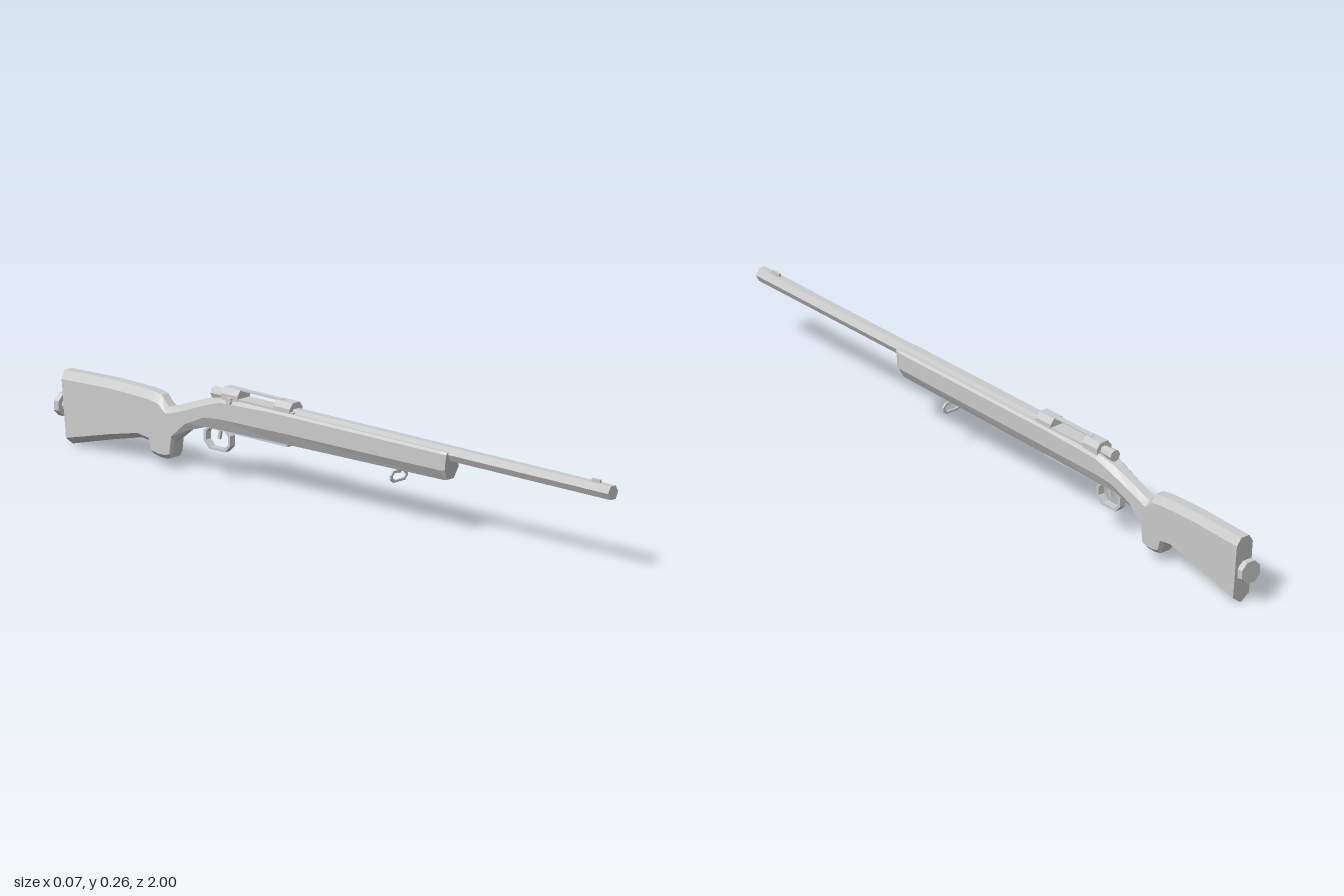
import * as THREE from 'three';

const mat = new THREE.MeshStandardMaterial({ color: 0xcccccc, flatShading: true, side: THREE.DoubleSide });

function add(group, name, geometry, x = 0, y = 0, z = 0) {
  const mesh = new THREE.Mesh(geometry, mat);
  mesh.name = name;
  mesh.position.set(x, y, z);
  group.add(mesh);
  return mesh;
}

// Skins a list of equal-length rings of [x, y, z], given front to back
function loft(rings) {
  const n = rings[0].length, index = [];
  for (let i = 0; i < rings.length - 1; i++) {
    for (let j = 0; j < n; j++) {
      const a = i * n + j, b = i * n + (j + 1) % n;
      index.push(a, a + n, b, b, a + n, b + n);
    }
  }
  const last = (rings.length - 1) * n;
  for (let j = 1; j < n - 1; j++) index.push(0, j, j + 1, last, last + j + 1, last + j);
  const geo = new THREE.BufferGeometry();
  geo.setAttribute('position', new THREE.Float32BufferAttribute(rings.flat(2), 3));
  geo.setIndex(index);
  const flat = geo.toNonIndexed();
  flat.computeVertexNormals();
  return flat;
}

// Chamfered cross-section, counter-clockwise seen from the front
function section([z, top, bottom, w, wTop, cTop, wBottom, cBottom, lean = 0]) {
  const right = [[wBottom, bottom], [w, bottom + cBottom], [w, top - cTop], [wTop, top]];
  const left = right.map(([x, y]) => [-x, y]).reverse();
  return [...right, ...left].map(([x, y]) => [x, y, z + lean * (top - y) / (top - bottom)]);
}

// Extrudes an [a, b] outline along z, from zBack to zFront
function prism(points, zBack, zFront, hole) {
  const shape = new THREE.Shape(points.map(p => new THREE.Vector2(...p)));
  if (hole) shape.holes.push(new THREE.Path(hole.map(p => new THREE.Vector2(...p))));
  const geo = new THREE.ExtrudeGeometry(shape, { depth: zFront - zBack, bevelEnabled: false });
  return geo.translate(0, 0, zBack);
}

// Rectangle with cut corners
function cutRect(w, h, c) {
  return [[w - c, -h], [w, -h + c], [w, h - c], [w - c, h], [-w + c, h], [-w, h - c], [-w, -h + c], [-w + c, -h]];
}

export function createModel() {
  const model = new THREE.Group();
  model.name = 'rifle';

  // Stock: z, top, bottom, half width, top half width, top cut, bottom half width, bottom cut, lean
  const stations = [
    [0.42, 0.238, 0.16, 0.027, 0.022, 0.006, 0.013, 0.03, -0.01],
    [0.4, 0.24, 0.158, 0.032, 0.026, 0.006, 0.015, 0.03],
    [-0.2, 0.24, 0.15, 0.033, 0.027, 0.006, 0.016, 0.034],
    [-0.4, 0.238, 0.146, 0.031, 0.022, 0.012, 0.016, 0.034],
    [-0.46, 0.222, 0.145, 0.028, 0.014, 0.016, 0.015, 0.028],
    [-0.53, 0.197, 0.122, 0.025, 0.012, 0.018, 0.013, 0.02],
    [-0.58, 0.178, 0.082, 0.025, 0.012, 0.016, 0.012, 0.016],
    [-0.586, 0.176, 0.036, 0.026, 0.012, 0.016, 0.016, 0.012],
    [-0.6, 0.174, 0.031, 0.027, 0.012, 0.016, 0.016, 0.012],
    [-0.625, 0.202, 0.031, 0.028, 0.013, 0.022, 0.016, 0.012],
    [-0.65, 0.207, 0.036, 0.028, 0.014, 0.022, 0.016, 0.012],
    [-0.66, 0.208, 0.066, 0.028, 0.014, 0.022, 0.012, 0.014],
    [-0.7, 0.21, 0.07, 0.028, 0.014, 0.022, 0.008, 0.016],
    [-0.8, 0.212, 0.046, 0.028, 0.014, 0.022, 0.005, 0.018],
    [-0.977, 0.206, 0.004, 0.028, 0.014, 0.022, 0.003, 0.02, 0.02],
  ];
  add(model, 'stock', loft(stations.map(section)));

  // Knob on the butt
  add(model, 'buttKnobNeck', new THREE.CylinderGeometry(0.02, 0.02, 0.03, 8).rotateX(Math.PI / 2), 0, 0.108, -0.975);
  add(model, 'buttKnob', new THREE.CylinderGeometry(0.034, 0.034, 0.018, 8).rotateY(Math.PI / 8).rotateX(Math.PI / 2),
    0, 0.108, -0.991);

  // Hexagonal barrel and front sight
  const hex = [[0.01, 0.213], [0.02, 0.232], [0.01, 0.25], [-0.01, 0.25], [-0.02, 0.232], [-0.01, 0.213]];
  add(model, 'barrel', prism(hex, -0.16, 1));
  add(model, 'frontSight', new THREE.BoxGeometry(0.007, 0.012, 0.03), 0, 0.253, 0.94);

  // Receiver: bed, two arched bridges and a thin top strip over the opening
  const arch = [[0.025, 0.22], [0.025, 0.252], [0.013, 0.267], [-0.013, 0.267], [-0.025, 0.252], [-0.025, 0.22]];
  add(model, 'receiverBed', new THREE.BoxGeometry(0.046, 0.035, 0.26), 0, 0.2265, -0.27);
  add(model, 'frontBridge', prism(arch, -0.21, -0.15));
  add(model, 'rearBridge', prism(arch, -0.4, -0.34));
  add(model, 'topStrip', new THREE.BoxGeometry(0.016, 0.004, 0.16), 0, 0.266, -0.275);

  // Bolt: tail, handle and small knob on the right-hand side
  add(model, 'boltTail', new THREE.CylinderGeometry(0.014, 0.017, 0.05, 8).rotateX(Math.PI / 2), 0, 0.242, -0.42);
  add(model, 'boltHandle', new THREE.BoxGeometry(0.014, 0.01, 0.016), -0.026, 0.24, -0.365);
  add(model, 'boltKnob', new THREE.CylinderGeometry(0.01, 0.01, 0.008, 6).rotateZ(Math.PI / 2), -0.031, 0.236, -0.365);

  // Floor plate, trigger guard and trigger
  add(model, 'floorPlate', new THREE.BoxGeometry(0.024, 0.008, 0.3), 0, 0.146, -0.32);
  const guard = prism(cutRect(0.048, 0.034, 0.02), -0.01, 0.01, cutRect(0.04, 0.027, 0.016));
  add(model, 'triggerGuard', guard.rotateY(Math.PI / 2), 0, 0.118, -0.428);
  add(model, 'trigger', new THREE.BoxGeometry(0.007, 0.03, 0.008), 0, 0.13, -0.425).rotation.x = 0.2;

  // Sling loop under the fore-end
  const loop = prism(cutRect(0.033, 0.016, 0.011), -0.003, 0.003, cutRect(0.026, 0.01, 0.008));
  add(model, 'slingLoop', loop, 0, 0.135, 0.222);
  add(model, 'slingStud', new THREE.BoxGeometry(0.012, 0.02, 0.008), 0, 0.153, 0.222);

  return model;
}
